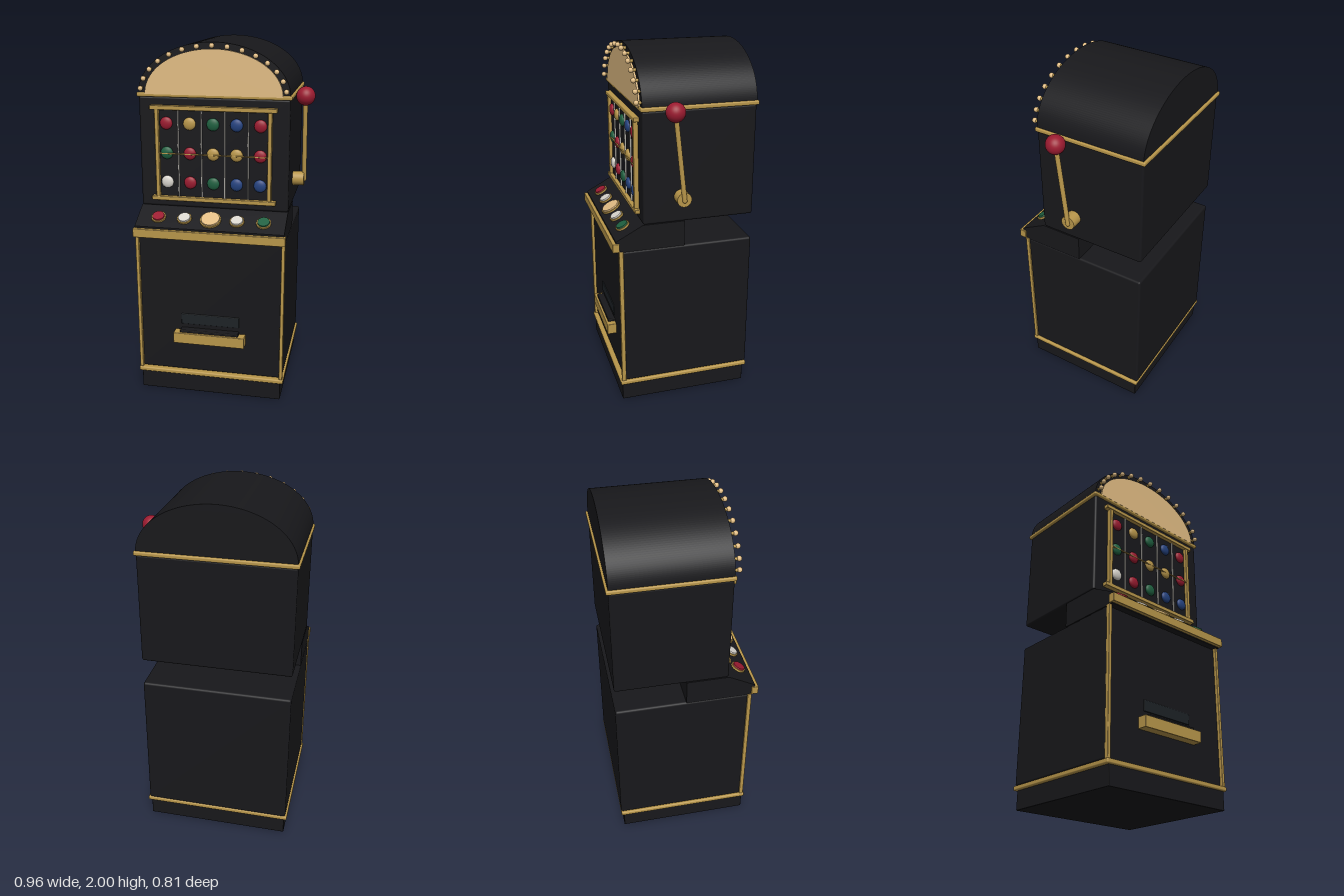
import * as THREE from 'three';
import { RoundedBoxGeometry } from 'three/addons/geometries/RoundedBoxGeometry.js';

const mat = (color) => new THREE.MeshStandardMaterial({ color });
const M = {
  black: mat(0x18181b), slot: mat(0x1d2226), gold: mat(0xb8964a), cream: mat(0xe2bd84),
  red: mat(0x9b1b30), green: mat(0x1f6040), blue: mat(0x24427f), white: mat(0xd8d4cc),
};
const CX = -0.053; // cabinet centre; the lever sits outside it

export function createModel() {
  const model = new THREE.Group();
  model.name = 'slotMachine';

  const add = (name, geometry, material, x = 0, y = 0, z = 0, parent = model) => {
    const mesh = new THREE.Mesh(geometry, material);
    mesh.name = name;
    mesh.position.set(x, y, z);
    parent.add(mesh);
    return mesh;
  };
  // Softly rounded box given by its limits
  const box = (name, material, x0, x1, y0, y1, z0, z1, r = 0.004) => {
    const s = [x1 - x0, y1 - y0, z1 - z0];
    const radius = Math.min(r, Math.min(...s) * 0.45);
    return add(name, new RoundedBoxGeometry(...s, 2, radius), material,
      (x0 + x1) / 2, (y0 + y1) / 2, (z0 + z1) / 2);
  };
  const group = (name) => {
    const g = new THREE.Group();
    g.name = name;
    model.add(g);
    return g;
  };

  // Cabinet
  box('plinth', M.black, -0.463, 0.357, 0, 0.11, -0.377, 0.366);
  box('plinthTrim', M.gold, -0.48, 0.374, 0.105, 0.131, -0.393, 0.377, 0.008);
  box('lowerCabinet', M.black, -0.47, 0.364, 0.13, 0.946, -0.393, 0.352, 0.012);
  box('upperCabinet', M.black, -0.47, 0.364, 1.09, 1.708, -0.393, 0.232, 0.012);
  box('domeTrim', M.gold, -0.48, 0.374, 1.705, 1.729, -0.405, 0.241, 0.008);
  for (const s of [-1, 1]) {
    const x = CX + s * 0.412;
    box('cornerTrim', M.gold, x - 0.01, x + 0.01, 0.13, 0.95, 0.346, 0.37);
  }

  // Sloped button console
  const profile = new THREE.Shape([[0, 0.945], [0.385, 0.945], [0.385, 1.01], [0.235, 1.09], [0, 1.09]]
    .map(([z, y]) => new THREE.Vector2(-z, y)));
  const consoleGeo = new THREE.ExtrudeGeometry(profile, { depth: 0.834, bevelEnabled: false });
  consoleGeo.rotateY(Math.PI / 2);
  add('console', consoleGeo, M.black, -0.47);
  box('consoleTrim', M.gold, -0.477, 0.373, 0.95, 1.0, 0.366, 0.405);

  // Buttons lying on the slope
  const buttons = group('buttons');
  [M.red, M.white, M.cream, M.white, M.green].forEach((material, i) => {
    const r = i === 2 ? 0.054 : 0.036;
    const b = new THREE.Group();
    b.name = 'button';
    b.position.set(CX + (i - 2) * 0.148, 1.046, 0.318);
    b.rotation.x = Math.atan2(0.08, 0.15);
    buttons.add(b);
    add('buttonRing', new THREE.CylinderGeometry(r + 0.005, r + 0.005, 0.012, 32), M.gold, 0, 0.004, 0, b);
    add('buttonCap', new THREE.CylinderGeometry(r - 0.003, r, 0.018, 32), material, 0, 0.009, 0, b);
  });

  // Arched top
  const halfEllipse = (rx, ry) => {
    const shape = new THREE.Shape();
    shape.absellipse(0, 0, rx, ry, 0, Math.PI, false, 0);
    shape.closePath();
    return shape;
  };
  const arch = (name, rx, ry, z, depth, material) => add(name,
    new THREE.ExtrudeGeometry(halfEllipse(rx, ry), { depth, bevelEnabled: false, curveSegments: 48 }),
    material, CX, 1.72, z);
  arch('dome', 0.417, 0.28, -0.393, 0.625, M.black);
  arch('domePanel', 0.378, 0.245, 0.23, 0.012, M.cream);

  // Bulbs following the arch
  const bulbs = group('bulbs');
  for (let i = 0; i < 15; i++) {
    const a = THREE.MathUtils.degToRad(90 + (i - 7) * 11.86);
    const x = CX + 0.4 * Math.cos(a), y = 1.72 + 0.263 * Math.sin(a);
    const base = add('bulbBase', new THREE.CylinderGeometry(0.009, 0.009, 0.022, 12), M.gold, x, y, 0.24, bulbs);
    base.rotation.x = Math.PI / 2;
    add('bulb', new THREE.SphereGeometry(0.014, 16, 12), M.cream, x, y, 0.257, bulbs);
  }

  // Reel window
  box('screen', M.black, -0.37, 0.264, 1.14, 1.65, 0.226, 0.238, 0.002);
  for (const y of [1.142, 1.651]) {
    box('frameBar', M.gold, CX - 0.35, CX + 0.35, y - 0.012, y + 0.012, 0.228, 0.261);
  }
  for (const s of [-1, 1]) {
    const x = CX + s * 0.313;
    box('framePost', M.gold, x - 0.011, x + 0.011, 1.14, 1.65, 0.228, 0.258);
  }
  for (let i = 0; i < 4; i++) {
    const x = CX + (i - 1.5) * 0.13;
    box('reelDivider', M.white, x - 0.003, x + 0.003, 1.153, 1.64, 0.234, 0.246, 0.001);
  }
  box('payline', M.gold, -0.365, 0.26, 1.395, 1.401, 0.25, 0.258, 0.001);

  // Symbols, one rounded disc per cell
  const { red: R, gold: Y, green: G, blue: B, white: W } = M;
  const symbols = group('symbols');
  [[R, Y, G, B, R], [G, R, Y, Y, R], [W, R, G, B, B]].forEach((row, j) =>
    row.forEach((material, i) => {
      const s = add('symbol', new THREE.SphereGeometry(0.035, 24, 16), material,
        CX + (i - 2) * 0.1305, 1.565 - j * 0.165, 0.242, symbols);
      s.scale.z = 0.45;
    }));

  // Payout slot and tray
  box('payoutSlot', M.slot, CX - 0.168, CX + 0.168, 0.425, 0.488, 0.345, 0.357);
  box('trayLiner', M.black, CX - 0.168, CX + 0.168, 0.36, 0.402, 0.345, 0.392);
  box('tray', M.gold, CX - 0.205, CX + 0.205, 0.323, 0.387, 0.345, 0.405);

  // Pull lever
  const hub = add('leverHub', new THREE.CylinderGeometry(0.04, 0.04, 0.072, 32), M.gold, 0.392, 1.235, 0.022);
  hub.rotation.z = Math.PI / 2;
  const rod = new THREE.LineCurve3(new THREE.Vector3(0.427, 1.23, 0.021), new THREE.Vector3(0.427, 1.7, 0.073));
  add('leverRod', new THREE.TubeGeometry(rod, 1, 0.013, 16), M.gold);
  add('leverRodEnd', new THREE.SphereGeometry(0.013, 16, 12), M.gold, 0.427, 1.23, 0.021);
  add('leverKnob', new THREE.SphereGeometry(0.052, 32, 24), M.red, 0.428, 1.71, 0.074);

  return model;
}
